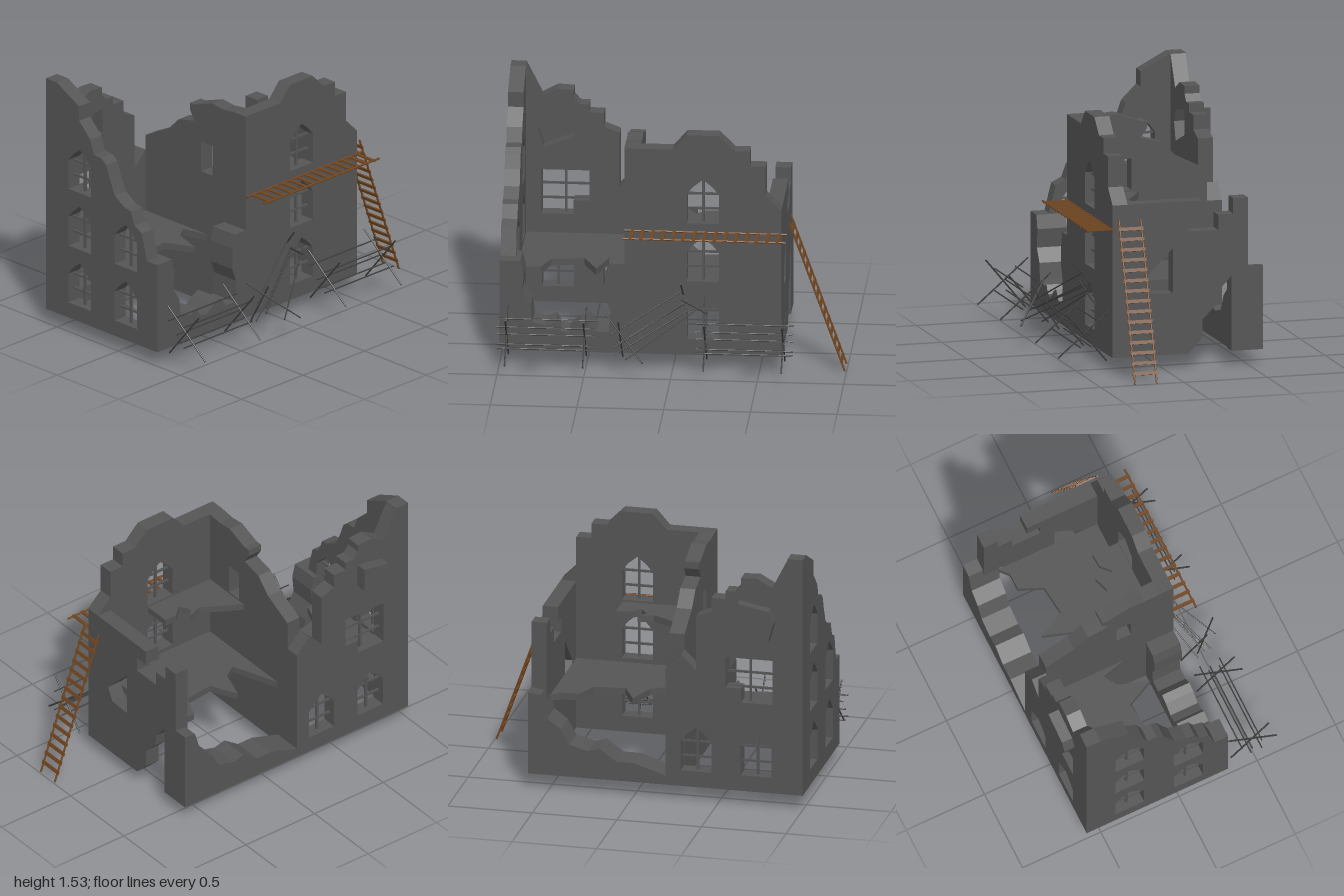
import * as THREE from 'three';

const stone = new THREE.MeshStandardMaterial({ color: 0x545454, flatShading: true });
stone.name = 'dark stone';
const wood = new THREE.MeshStandardMaterial({ color: 0x70451f, flatShading: true });
wood.name = 'brown wood';
const iron = new THREE.MeshStandardMaterial({ color: 0x3c3c3c, flatShading: true });
iron.name = 'dark iron';

const toPath = (pts, Type = THREE.Path) => new Type(pts.map(p => new THREE.Vector2(p[0], p[1])));

function mesh(geometry, material, name) {
  const m = new THREE.Mesh(geometry, material);
  m.name = name;
  return m;
}

function bar(w, h, d, x, y, z, material, name) {
  const m = mesh(new THREE.BoxGeometry(w, h, d), material, name);
  m.position.set(x, y, z);
  return m;
}

// Thin round rod between two points
function rod(a, b, r, material, name) {
  const p = new THREE.Vector3(...a), q = new THREE.Vector3(...b);
  const dir = q.clone().sub(p);
  const m = mesh(new THREE.CylinderGeometry(r, r, dir.length(), 6), material, name);
  m.position.copy(p).add(q).multiplyScalar(0.5);
  m.quaternion.setFromUnitVectors(new THREE.Vector3(0, 1, 0), dir.normalize());
  return m;
}

// Pointed window outline, centred on u with its sill at y
const arch = (u, y) => [[u - 0.092, y], [u + 0.092, y], [u + 0.092, y + 0.18],
  [u + 0.055, y + 0.225], [u, y + 0.27], [u - 0.055, y + 0.225], [u - 0.092, y + 0.18]];

// Wall outline in (u, y), pushed out from w by its thickness, with window bars
function wall(name, outline, w, thick, windows = [], holes = []) {
  const g = new THREE.Group();
  g.name = name;
  const shape = toPath(outline, THREE.Shape);
  for (const [u, y] of windows) shape.holes.push(toPath(arch(u, y)));
  for (const h of holes) shape.holes.push(toPath(h));
  const geo = new THREE.ExtrudeGeometry(shape, { depth: thick, bevelEnabled: false });
  geo.translate(0, 0, w);
  g.add(mesh(geo, stone, name + 'Stone'));
  const mid = w + thick / 2;
  for (const [u, y] of windows) {
    g.add(bar(0.014, 0.27, 0.014, u, y + 0.135, mid, stone, 'windowMullion'));
    for (const dy of [0.08, 0.17])
      g.add(bar(0.184, 0.012, 0.012, u, y + dy, mid, stone, 'windowCrossbar'));
  }
  return g;
}

// Wall running front to back; u is z and its outer +x side is at xMax
function sideWall(name, outline, xMax, thick, windows, holes) {
  const g = wall(name, outline, 0, thick, windows, holes);
  g.rotation.y = -Math.PI / 2;
  g.position.x = xMax;
  return g;
}

// Broken floor, outline in (x, z)
function floor(name, outline, top) {
  const geo = new THREE.ExtrudeGeometry(toPath(outline, THREE.Shape), { depth: 0.04, bevelEnabled: false });
  geo.rotateX(Math.PI / 2).translate(0, top, 0);
  return mesh(geo, stone, name);
}

// Wooden ladder: rails at two z values, rungs spread from one end to the other
function ladder(name, a, b, z0, z1, count, start, end) {
  const g = new THREE.Group();
  g.name = name;
  for (const z of [z0, z1]) g.add(rod([...a, z], [...b, z], 0.006, wood, 'ladderRail'));
  const angle = Math.atan2(b[1] - a[1], b[0] - a[0]);
  for (let i = 0; i < count; i++) {
    const t = start + (end - start) * i / (count - 1);
    const r = bar(0.02, 0.009, z1 - z0 + 0.02, a[0] + (b[0] - a[0]) * t, a[1] + (b[1] - a[1]) * t,
      (z0 + z1) / 2, wood, 'ladderRung');
    r.rotation.z = angle;
    g.add(r);
  }
  return g;
}

// Wire barricade: crossed posts with wires between them
function barricade(x0, x1) {
  const g = new THREE.Group();
  g.name = 'wireBarricade';
  for (const x of [x0 + 0.055, x1 - 0.055]) {
    g.add(rod([x, 0.37, 0.6], [x, 0.08, 0.36], 0.005, iron, 'crossPost'));
    g.add(rod([x, 0.11, 0.65], [x, 0.37, 0.345], 0.005, iron, 'crossPost'));
  }
  for (const [y, z] of [[0.31, 0.405], [0.175, 0.462], [0.24, 0.47], [0.305, 0.53], [0.175, 0.53]])
    g.add(rod([x0, y, z], [x1, y, z], 0.004, iron, 'barricadeWire'));
  return g;
}

export function createModel() {
  const model = new THREE.Group();
  model.name = 'ruinedHouse';
  const B = 0.085, rows = [0.18, 0.535, 0.89];

  // Tall front wall with three windows
  model.add(wall('frontWall', [[-0.28, B], [0.625, B], [0.625, 0.98], [0.535, 1.07], [0.535, 1.25],
    [0.445, 1.25], [0.445, 1.34], [0.355, 1.34], [0.265, 1.43], [0.08, 1.43], [0, 1.34], [-0.28, 1.34]],
    0.225, 0.09, rows.map(y => [0.173, y])));

  // Low breached front wall
  model.add(wall('brokenFrontWall', [[-0.91, B], [-0.28, B], [-0.28, 0.63], [-0.37, 0.63], [-0.39, 0.55],
    [-0.39, 0.42], [-0.36, 0.34], [-0.37, 0.21], [-0.44, 0.21], [-0.49, 0.27], [-0.54, 0.25], [-0.6, 0.2],
    [-0.65, 0.21], [-0.68, 0.26], [-0.74, 0.24], [-0.81, 0.26], [-0.82, 0.36], [-0.87, 0.44],
    [-0.86, 0.55], [-0.88, 0.63], [-0.91, 0.63]], 0.14, 0.175));

  // Left room back wall, with a mullioned window and a niche
  const niche = [[-0.84, 1.14], [-0.81, 1.03], [-0.63, 1.1], [-0.63, 1.25], [-0.81, 1.215]];
  const back = wall('backWall', [[-0.91, B], [-0.19, B], [-0.19, 0.8], [-0.28, 0.89], [-0.37, 0.8],
    [-0.37, 1.13], [-0.46, 1.165], [-0.46, 1.25], [-0.545, 1.25], [-0.545, 1.3], [-0.6, 1.3], [-0.635, 1.34],
    [-0.635, 1.385], [-0.73, 1.39], [-0.82, 1.34], [-0.91, 1.52]], -0.59, 0.09,
    [[-0.725, 0.18], [-0.37, 0.18]],
    [[[-0.82, 0.625], [-0.635, 0.625], [-0.635, 0.71], [-0.545, 0.71], [-0.545, 0.895], [-0.82, 0.895]], niche]);
  back.add(bar(0.014, 0.27, 0.014, -0.682, 0.76, -0.545, stone, 'windowMullion'));
  for (const y of [0.71, 0.8]) back.add(bar(0.275, 0.012, 0.012, -0.682, y, -0.545, stone, 'windowCrossbar'));
  const bulge = new THREE.ExtrudeGeometry(toPath(niche, THREE.Shape), { depth: 0.075, bevelEnabled: false });
  bulge.translate(0, 0, -0.655);
  back.add(mesh(bulge, stone, 'nicheBack'));
  model.add(back);

  // Collapsed back wall of the other room
  model.add(wall('brokenBackWall', [[-0.19, B], [0.625, B], [0.625, 0.58], [0.55, 0.57], [0.51, 0.43],
    [0.43, 0.37], [0.38, 0.28], [0.27, 0.25], [0.2, 0.27], [0.1, 0.2], [0, 0.2], [-0.19, 0.14]], -0.59, 0.18));

  // Outer side wall stepping down to the front
  model.add(sideWall('steppedSideWall', [[-0.59, B], [0.315, B], [0.315, 0.63], [0.23, 0.63], [0.19, 0.79],
    [0.13, 0.82], [0.1, 0.9], [0.05, 0.91], [-0.03, 0.96], [-0.07, 1.05], [-0.1, 1.13], [-0.14, 1.16], [-0.2, 1.165],
    [-0.23, 1.25], [-0.32, 1.34], [-0.32, 1.43], [-0.5, 1.525], [-0.59, 1.525]], -0.91, 0.09,
    [...rows.map(y => [-0.315, y]), [0.06, rows[0]], [0.06, rows[1]]]));

  // Dividing wall between the rooms
  model.add(sideWall('dividingWall', [[-0.5, B], [0.225, B], [0.225, 1.34], [0.13, 1.33], [0.04, 1.34],
    [-0.1, 1.29], [-0.14, 1.29], [-0.14, 1.25], [-0.1, 1.19], [-0.23, 1.16], [-0.32, 1.07], [-0.5, 0.98]],
    -0.19, 0.09, [], [[[-0.048, 0.89], [0.045, 0.89], [0.045, 1.075], [-0.048, 1.075]]]));

  // Side wall beside the ladder, with a breach and a jagged hole
  model.add(sideWall('ladderSideWall', [[-0.5, B], [-0.4, B], [-0.4, 0.53], [-0.32, 0.44], [-0.315, 0.37],
    [-0.225, 0.28], [-0.225, 0.17], [-0.14, B], [0.225, B], [0.225, 0.98], [-0.225, 0.98], [-0.225, 0.89],
    [-0.14, 0.89], [-0.14, 0.8], [-0.32, 0.8], [-0.32, 0.89], [-0.41, 0.89], [-0.41, 0.98], [-0.5, 0.98]],
    0.625, 0.09, [], [[[-0.048, 0.445], [0.09, 0.45], [0.13, 0.53], [-0.048, 0.71]]]));

  // Broken floors
  model.add(floor('leftRoomFloor', [[-0.91, -0.5], [-0.28, -0.5], [-0.28, 0], [-0.32, -0.15], [-0.4, -0.1],
    [-0.46, 0.08], [-0.54, -0.09], [-0.73, -0.06], [-0.78, 0.07], [-0.91, 0.08]], 0.51));
  model.add(floor('rightRoomFloor', [[-0.19, 0.225], [-0.19, -0.41], [-0.08, -0.13], [0, -0.18], [0.06, -0.36],
    [0.14, -0.2], [0.32, -0.22], [0.38, -0.36], [0.48, -0.36], [0.535, -0.41], [0.535, 0.225]], 0.51));
  model.add(floor('upperFloor', [[-0.19, 0.225], [-0.19, -0.09], [0.03, 0.04], [0.12, 0.01], [0.08, 0.06],
    [0.12, 0.12], [0.18, 0.065], [0.26, 0.06], [0.26, 0.225]], 0.88));

  // Leaning ladder and the one laid flat as a catwalk
  model.add(ladder('leaningLadder', [0.99, 0], [0.67, 0.9], 0.16, 0.29, 15, 0.065, 0.945));
  model.add(ladder('catwalkLadder', [-0.28, 0.84], [0.66, 0.84], 0.322, 0.46, 15, 0.05, 0.95));

  // Barricades along the front
  model.add(barricade(-1, -0.44), barricade(0.145, 0.705));
  const fallen = new THREE.Group();
  fallen.name = 'fallenBarricade';
  for (const [a, b] of [[[-0.38, 0.36, 0.42], [-0.15, 0.14, 0.63]], [[-0.3, 0.35, 0.52], [-0.285, 0.08, 0.36]],
    [[0.05, 0.54, 0.38], [0.06, 0.45, 0.31]], [[0.05, 0.43, 0.34], [0.2, 0.33, 0.3]]])
    fallen.add(rod(a, b, 0.005, iron, 'crossPost'));
  for (const [a, b] of [[[-0.35, 0.25, 0.48], [0.06, 0.48, 0.32]], [[-0.33, 0.19, 0.53], [0.09, 0.42, 0.32]],
    [[-0.3, 0.21, 0.5], [0.09, 0.41, 0.31]], [[-0.33, 0.12, 0.45], [0.1, 0.36, 0.31]],
    [[-0.25, 0.15, 0.6], [0.18, 0.4, 0.32]]])
    fallen.add(rod(a, b, 0.004, iron, 'barricadeWire'));
  model.add(fallen);
  return model;
}
